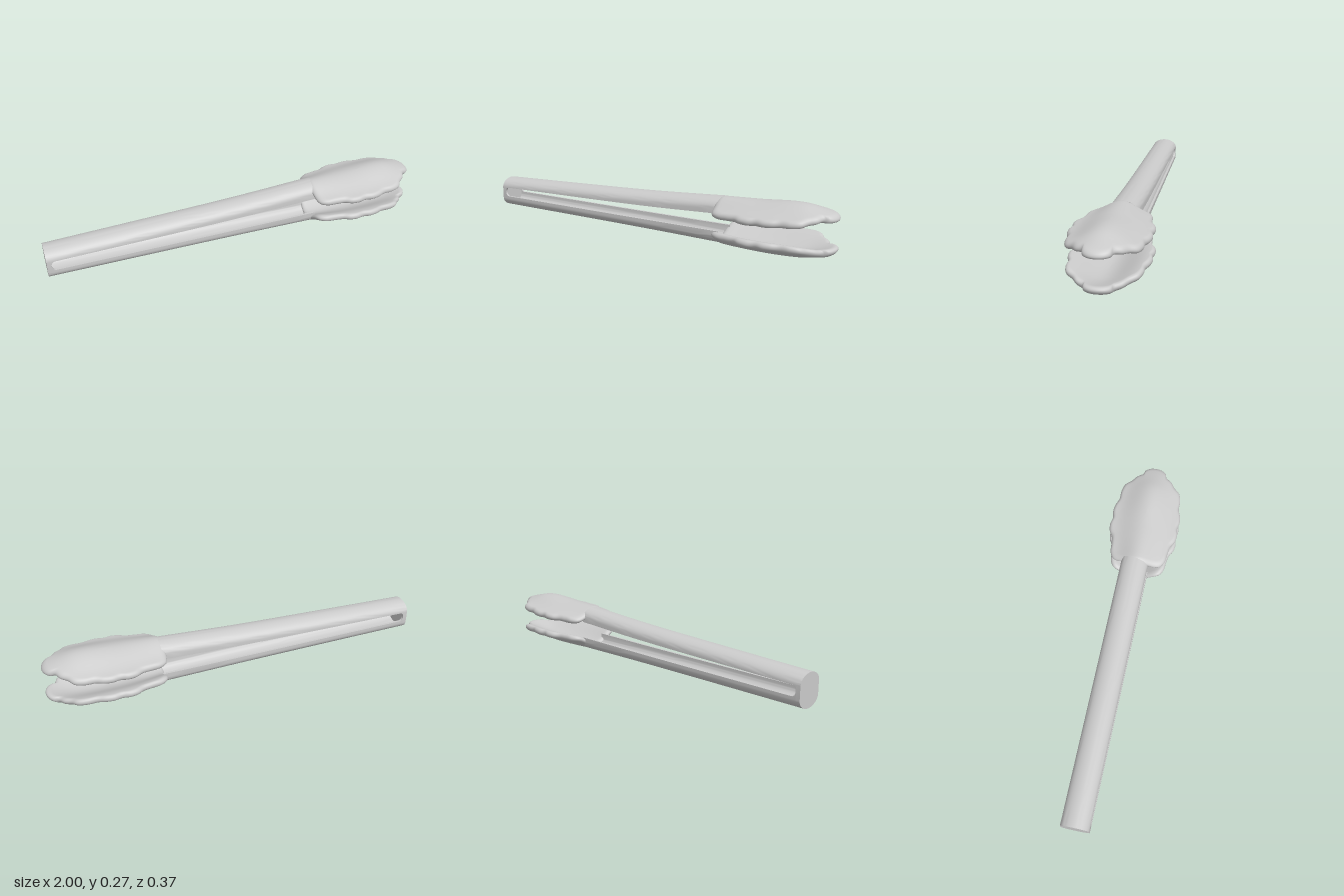
import * as THREE from 'three';
import { toCreasedNormals } from 'three/addons/utils/BufferGeometryUtils.js';

const metal = new THREE.MeshStandardMaterial({ color: 0xcccccc });

// Smooth value along x through a few [x, value] stations
function along(...stations) {
  const f = new THREE.CubicInterpolant(stations.map(s => s[0]), stations.map(s => s[1]), 1);
  return x => f.evaluate(x)[0];
}

// Skin over closed rows of [x, y, z] points
function skin(rows, flip) {
  const n = rows[0].length, index = [];
  for (let i = 0; i < rows.length - 1; i++) {
    for (let j = 0; j < n; j++) {
      const a = i * n + j, b = i * n + (j + 1) % n, c = a + n, d = b + n;
      if (flip) index.push(a, b, c, b, d, c);
      else index.push(a, c, b, b, c, d);
    }
  }
  const geometry = new THREE.BufferGeometry();
  geometry.setAttribute('position', new THREE.Float32BufferAttribute(rows.flat(2), 3));
  geometry.setIndex(index);
  geometry.computeVertexNormals();
  return geometry;
}

const HALF = 0.0725, WALL = 0.012, ARC = 0.05, MID = 0.1, SLOT = -0.978;
const armZ = along([-1, -0.018], [-0.3, -0.013], [0.43, -0.008]);

// Arm: a thin open channel whose lips close up round the end of the slot
function armGeometry(dir, crown, lip) {
  const xs = [-1, SLOT];
  for (let i = 1; i <= 6; i++) xs.push(SLOT + 0.02 * (1 - Math.cos(i / 6 * Math.PI / 2)));
  for (let i = 1; i <= 24; i++) xs.push(SLOT + 0.02 + i / 24 * (0.425 - SLOT - 0.02));
  const rows = xs.map(x => {
    const k = THREE.MathUtils.clamp((x - SLOT) / 0.02, 0, 1);
    const edge = x < SLOT ? MID : THREE.MathUtils.lerp(MID, lip(x), Math.sqrt(1 - (1 - k) ** 2));
    const base = crown(x) - dir * ARC, row = [];
    const arch = inset => {
      const pts = [[x, edge, armZ(x) + HALF - inset]];
      for (let i = 0; i <= 20; i++) {
        const t = i / 20 * Math.PI;
        pts.push([x, base + dir * (ARC - inset) * Math.sin(t), armZ(x) + (HALF - inset) * Math.cos(t)]);
      }
      pts.push([x, edge, armZ(x) - HALF + inset]);
      return pts;
    };
    row.push(...arch(0), ...arch(WALL).reverse());
    return row;
  });
  return toCreasedNormals(skin(rows, dir < 0), 0.7);
}

// Scalloped outline of a gripping head, [x, half width]
const side = [[0.405, 0.07], [0.418, 0.125], [0.45, 0.148], [0.5, 0.155], [0.545, 0.162],
  [0.58, 0.181], [0.62, 0.187], [0.66, 0.18], [0.7, 0.187], [0.74, 0.182], [0.78, 0.168],
  [0.83, 0.167], [0.875, 0.153], [0.9, 0.122], [0.93, 0.098], [0.95, 0.066], [0.975, 0.058], [0.993, 0.035]];
const outline = new THREE.CatmullRomCurve3([
  [0.4, 0], ...side, [1, 0], ...side.map(([x, z]) => [x, -z]).reverse(),
].map(([x, z]) => new THREE.Vector3(x, 0, z)), true, 'centripetal').getSpacedPoints(180).slice(0, -1);

// Head: a dished shell with a thick rounded rim
function headGeometry(dir, ridge, rim) {
  const centre = 0.7, thickness = 0.038, steps = [];
  for (let i = 0; i <= 12; i++) steps.push([i / 12 * 0.9, 0]);
  for (let i = 1; i < 10; i++) {
    const t = i / 10 * Math.PI;
    steps.push([0.9 + 0.1 * Math.sin(t), (1 - Math.cos(t)) / 2]);
  }
  for (let i = 12; i >= 0; i--) steps.push([i / 12 * 0.9, 1]);
  const spread = along([0.4, 0.13], [0.6, 0.18], [0.85, 0.18], [1, 0.17]);
  const rows = steps.map(([s, depth]) => outline.map(p => {
    const x = centre + (p.x - centre) * s, z = p.z * s;
    const bell = 0.5 + 0.5 * Math.cos(Math.PI * Math.min(1, Math.abs(z) / spread(x)));
    return [x, rim(x) + (ridge(x) - rim(x)) * bell - dir * thickness * depth, z];
  }));
  return skin(rows, dir < 0);
}

// Solid end joining both arms behind the slot
function endGeometry(top, bottom) {
  const shape = new THREE.Shape();
  shape.absellipse(0, top - ARC, HALF, ARC, 0, Math.PI, false);
  shape.absellipse(0, bottom + ARC, HALF, ARC, Math.PI, Math.PI * 2, false);
  shape.closePath();
  const geometry = new THREE.ExtrudeGeometry(shape, { depth: 0.0205, bevelEnabled: false, curveSegments: 20 });
  geometry.rotateY(Math.PI / 2).translate(-1, 0, armZ(-1));
  return toCreasedNormals(geometry, 0.7);
}

export function createModel() {
  const group = new THREE.Group();
  const add = (name, geometry) => {
    const mesh = new THREE.Mesh(geometry, metal);
    mesh.name = name;
    group.add(mesh);
  };

  const upperCrown = along([-1, 0.175], [-0.5, 0.195], [0, 0.217], [0.43, 0.245]);
  const lowerCrown = along([-1, 0.012], [0, 0.011], [0.43, 0.007]);
  add('upperArm', armGeometry(1, upperCrown, along([-1, 0.125], [0, 0.15], [0.43, 0.17])));
  add('lowerArm', armGeometry(-1, lowerCrown, along([-1, 0.074], [0, 0.077], [0.43, 0.08])));
  add('handleEnd', endGeometry(upperCrown(-1), lowerCrown(-1)));

  add('upperHead', headGeometry(1,
    along([0.4, 0.245], [0.6, 0.253], [0.84, 0.266], [0.92, 0.25], [1, 0.231]),
    along([0.4, 0.2], [0.6, 0.205], [0.9, 0.217], [1, 0.225])));
  add('lowerHead', headGeometry(-1,
    along([0.4, 0.006], [0.5, 0.001], [0.84, 0.008], [0.92, 0.024], [1, 0.047]),
    along([0.4, 0.06], [0.6, 0.062], [0.9, 0.062], [1, 0.055])));
  return group;
}
